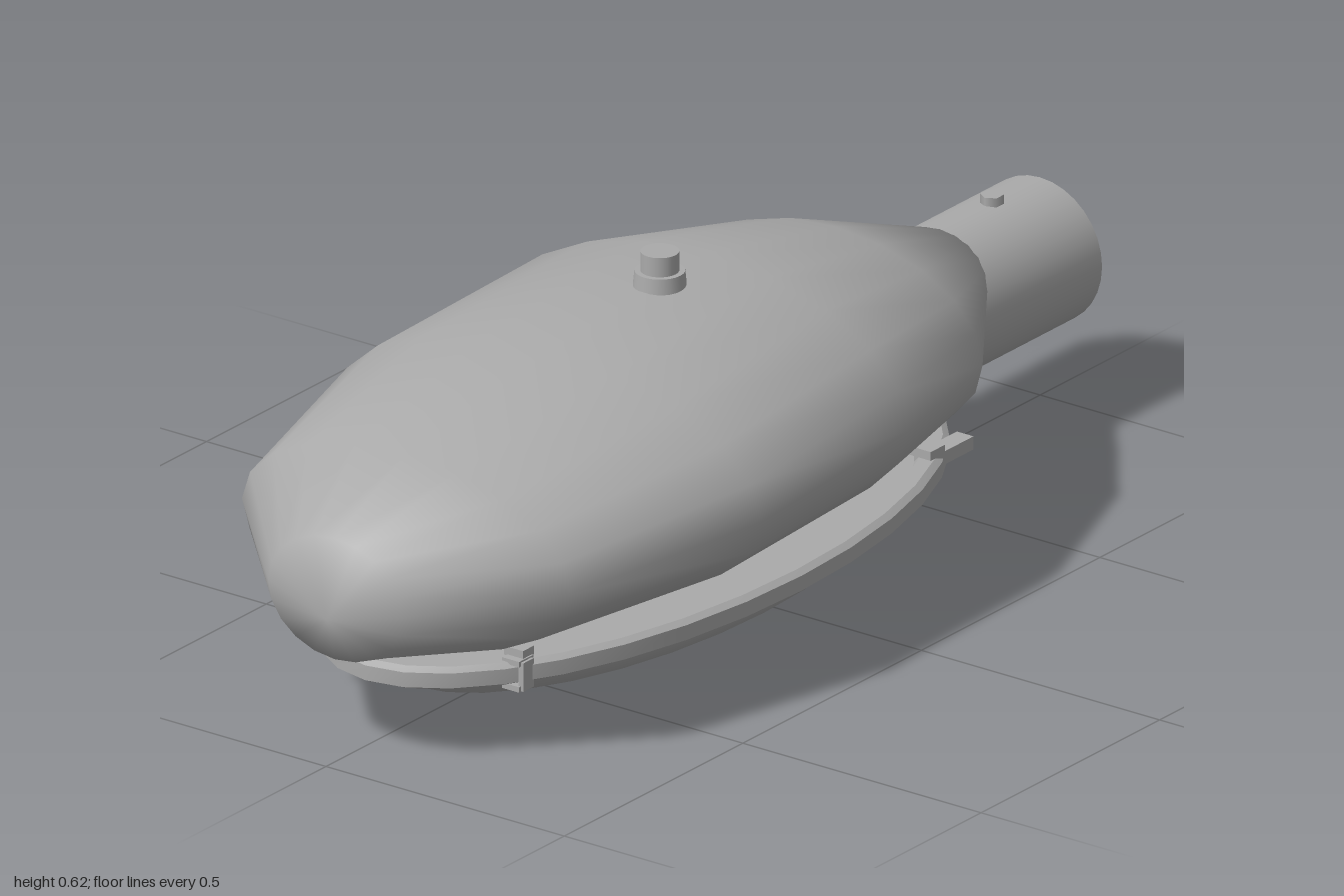
import * as THREE from 'three';
import { toCreasedNormals } from 'three/addons/utils/BufferGeometryUtils.js';

const grey = new THREE.MeshStandardMaterial({ color: 0xaaaaaa });
grey.name = 'grey metal';

// Skin a list of rings; point(ring, angle) returns [x, y, z]
function loft(rings, sides, point, crease) {
  const pos = [], index = [];
  rings.forEach((ring, i) => {
    for (let j = 0; j < sides; j++) {
      pos.push(...point(ring, (j / sides) * Math.PI * 2));
      if (i === 0) continue;
      const k = (j + 1) % sides;
      const a = (i - 1) * sides + j, b = (i - 1) * sides + k, c = i * sides + k, d = i * sides + j;
      index.push(a, b, c, a, c, d);
    }
  });
  const g = new THREE.BufferGeometry();
  g.setAttribute('position', new THREE.Float32BufferAttribute(pos, 3));
  g.setIndex(index);
  return toCreasedNormals(g, crease);
}

export function createModel() {
  const model = new THREE.Group();
  model.name = 'streetLampHead';

  function add(name, geometry, x = 0, y = 0, z = 0, parent = model) {
    const mesh = new THREE.Mesh(geometry, grey);
    mesh.name = name;
    mesh.position.set(x, y, z);
    parent.add(mesh);
    return mesh;
  }

  // Housing: elliptical sections [z, half width, bottom, top], back to front
  const housing = [
    [-0.72, 0, 0.32, 0.32], [-0.72, 0.1, 0.25, 0.4], [-0.425, 0.31, 0.155, 0.505],
    [-0.065, 0.425, 0.15, 0.577], [0.375, 0.445, 0.15, 0.55], [0.775, 0.345, 0.16, 0.497],
    [0.975, 0.14, 0.19, 0.41], [0.998, 0, 0.27, 0.27],
  ];
  add('housing', loft(housing, 20, ([z, w, b, t], a) =>
    [w * Math.cos(a), (b + t) / 2 + ((t - b) / 2) * Math.sin(a), z], 1.3));

  // Mounting socket: hollow tube [z, radius] with an inner floor
  const socket = [[-0.74, 0], [-0.74, 0.112], [-1, 0.112], [-1, 0.13], [-0.45, 0.13], [-0.45, 0]];
  add('mountingSocket', loft(socket, 32, ([z, r], a) =>
    [r * Math.cos(a), 0.27 + r * Math.sin(a), z], 0.6));
  add('socketPin', new THREE.CylinderGeometry(0.042, 0.042, 0.18, 20).rotateX(Math.PI / 2), 0, 0.27, -0.82);
  add('socketBolt', new THREE.CylinderGeometry(0.02, 0.02, 0.04, 6), 0, 0.395, -0.865);

  // Lens and frame: flat ellipses [y, half width, half length] around z = 0.14
  const oval = ([y, w, l], a) => [w * Math.cos(a), y, 0.14 - l * Math.sin(a)];
  const lens = [
    [0.003, 0, 0], [0.004, 0.07, 0.15], [0.026, 0.19, 0.42],
    [0.062, 0.275, 0.605], [0.1, 0.305, 0.67], [0.12, 0.31, 0.69],
  ];
  add('lens', loft(lens, 32, oval, 0.9));
  const frame = [
    [0.115, 0.3, 0.66], [0.115, 0.338, 0.733], [0.123, 0.355, 0.75], [0.15, 0.355, 0.75],
    [0.158, 0.343, 0.738], [0.158, 0.318, 0.7], [0.148, 0.312, 0.69], [0.148, 0, 0],
  ];
  add('lensFrame', loft(frame, 32, oval, 0.5));

  // Sensor socket on top
  add('sensorBase', new THREE.CylinderGeometry(0.043, 0.046, 0.03, 24), 0, 0.577, 0.065);
  add('sensorCap', new THREE.CylinderGeometry(0.033, 0.033, 0.05, 24), 0, 0.602, 0.065);

  // Frame clips at the front and hinge levers at the back
  for (const side of [-1, 1]) {
    const clip = new THREE.Group();
    clip.name = side > 0 ? 'leftClip' : 'rightClip';
    model.add(clip);
    add('clipBack', new THREE.BoxGeometry(0.01, 0.052, 0.03), side * 0.218, 0.135, 0.73, clip);
    add('clipFoot', new THREE.BoxGeometry(0.036, 0.01, 0.04), side * 0.2, 0.113, 0.73, clip);
    add('clipTop', new THREE.BoxGeometry(0.036, 0.01, 0.04), side * 0.2, 0.159, 0.73, clip);
    add('clipTab', new THREE.BoxGeometry(0.04, 0.016, 0.03), side * 0.195, 0.17, 0.72, clip);

    const hinge = new THREE.Group();
    hinge.name = side > 0 ? 'leftHinge' : 'rightHinge';
    model.add(hinge);
    add('hingePlate', new THREE.BoxGeometry(0.07, 0.016, 0.04), side * 0.215, 0.171, -0.38, hinge);
    add('hingeLever', new THREE.BoxGeometry(0.035, 0.024, 0.12), side * 0.225, 0.15, -0.43, hinge);
  }
  return model;
}
